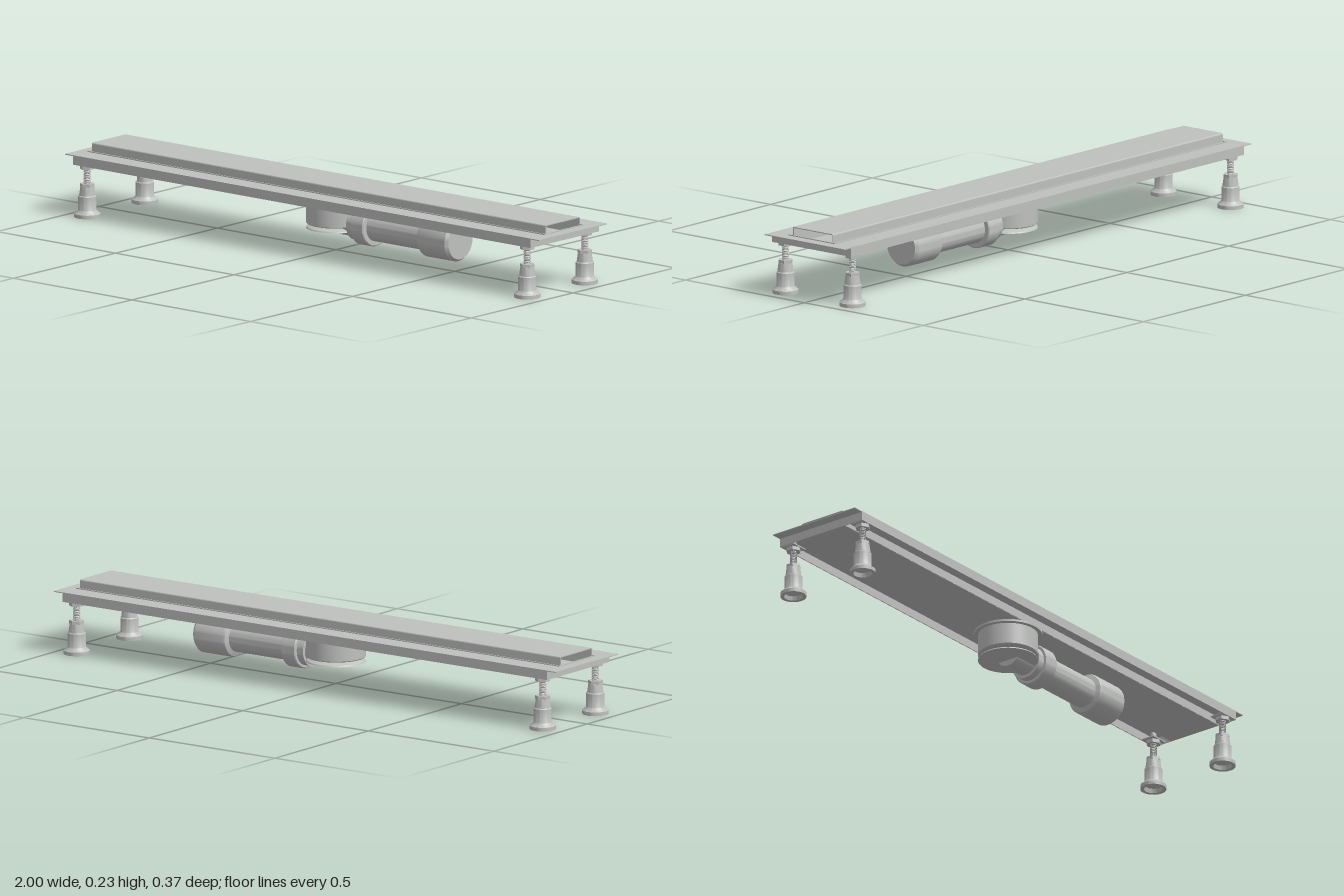
import * as THREE from 'three';
import { toCreasedNormals } from 'three/addons/utils/BufferGeometryUtils.js';

const steel = new THREE.MeshStandardMaterial({ color: 0xbfc1bf, side: THREE.DoubleSide });
steel.name = 'brushed steel grey';

function add(parent, name, geometry, x = 0, y = 0, z = 0) {
  const mesh = new THREE.Mesh(geometry, steel);
  mesh.name = name;
  mesh.position.set(x, y, z);
  parent.add(mesh);
  return mesh;
}

// box given by its limits on each axis
function slab(parent, name, x0, x1, y0, y1, z0, z1) {
  return add(parent, name, new THREE.BoxGeometry(x1 - x0, y1 - y0, z1 - z0),
    (x0 + x1) / 2, (y0 + y1) / 2, (z0 + z1) / 2);
}

// turned part with sharp edges, from [radius, height] pairs
function turned(points, sides = 40) {
  const geometry = new THREE.LatheGeometry(points.map(p => new THREE.Vector2(...p)), sides);
  return toCreasedNormals(geometry, 0.5);
}

// flat flange with the channel opening cut out
function flangeGeometry() {
  const rect = (path, x, z) => path.moveTo(-x, -z).lineTo(x, -z).lineTo(x, z).lineTo(-x, z).closePath();
  const shape = rect(new THREE.Shape(), 1, 0.167);
  shape.holes.push(rect(new THREE.Path(), 0.96, 0.094));
  return new THREE.ExtrudeGeometry(shape, { depth: 0.003, bevelEnabled: false }).rotateX(-Math.PI / 2);
}

// inverted U section with rounded shoulders, open at both ends
function coverGeometry() {
  const w = 0.084, top = 0.229, low = 0.175, t = 0.003, r = 0.005;
  const s = new THREE.Shape();
  s.moveTo(-w, low).lineTo(-w, top - r).quadraticCurveTo(-w, top, -w + r, top);
  s.lineTo(w - r, top).quadraticCurveTo(w, top, w, top - r).lineTo(w, low);
  s.lineTo(w - t, low).lineTo(w - t, top - t).lineTo(-w + t, top - t).lineTo(-w + t, low).closePath();
  const g = new THREE.ExtrudeGeometry(s, { depth: 1.914, bevelEnabled: false, curveSegments: 5 });
  return g.translate(0, 0, -0.957).rotateY(Math.PI / 2);
}

function createFoot() {
  const foot = new THREE.Group();
  foot.name = 'adjustableFoot';
  // hollow-bottomed base and tapered sleeve
  add(foot, 'footSleeve', turned([
    [0, 0.014], [0.027, 0.014], [0.03, 0], [0.042, 0], [0.042, 0.012], [0.03, 0.022],
    [0.029, 0.024], [0.029, 0.068], [0.026, 0.071], [0.022, 0.1], [0, 0.1]], 32));
  add(foot, 'lockNut', toCreasedNormals(new THREE.CylinderGeometry(0.024, 0.024, 0.011, 6), 0.5), 0, 0.104, 0);
  // threaded rod as a row of ridges
  const thread = [[0, 0.1]];
  for (let i = 0; i < 9; i++) {
    const y = 0.108 + i * 0.0055;
    thread.push([0.0095, y], [0.0115, y + 0.0018], [0.0115, y + 0.0035]);
  }
  thread.push([0.0095, 0.16], [0.0095, 0.2]);
  add(foot, 'threadedRod', turned(thread, 20));
  add(foot, 'topNut', toCreasedNormals(new THREE.CylinderGeometry(0.024, 0.024, 0.012, 6), 0.5), 0, 0.163, 0);
  add(foot, 'footBracket', new THREE.BoxGeometry(0.06, 0.004, 0.05), 0, 0.171, 0);
  return foot;
}

export function createModel() {
  const model = new THREE.Group();
  model.name = 'linearFloorDrain';

  // channel body
  const body = new THREE.Group();
  body.name = 'channelBody';
  model.add(body);
  add(body, 'flange', flangeGeometry(), 0, 0.197, 0);
  slab(body, 'troughFloor', -0.963, 0.963, 0.169, 0.172, -0.097, 0.097);
  for (const s of [-1, 1]) {
    const span = (a, b) => [Math.min(s * a, s * b), Math.max(s * a, s * b)];
    slab(body, 'sideSkirt', -0.965, 0.965, 0.169, 0.198, ...span(0.164, 0.167));
    slab(body, 'endSkirt', ...span(0.962, 0.965), 0.169, 0.198, -0.165, 0.165);
    slab(body, 'troughWall', -0.963, 0.963, 0.17, 0.203, ...span(0.094, 0.098));
    slab(body, 'troughEnd', ...span(0.959, 0.963), 0.17, 0.203, -0.095, 0.095);
  }

  // raised cover
  add(model, 'cover', coverGeometry());

  // siphon pot with mounting rim and a flared bottom dish
  const siphon = new THREE.Group();
  siphon.name = 'siphon';
  model.add(siphon);
  add(siphon, 'siphonPot', turned([
    [0, 0.089], [0.093, 0.089], [0.096, 0.092], [0.096, 0.162], [0.11, 0.162], [0.11, 0.169], [0, 0.169]], 56));
  add(siphon, 'siphonDish', turned([
    [0, 0.076], [0.092, 0.076], [0.096, 0.074], [0.094, 0.078], [0.068, 0.09]], 56));

  // outlet pipe along +x
  const outlet = add(siphon, 'outletPipe', turned([
    [0, 0], [0.046, 0], [0.046, 0.09], [0.056, 0.09], [0.056, 0.115], [0.064, 0.115], [0.067, 0.118],
    [0.067, 0.167], [0.064, 0.17], [0.049, 0.17], [0.049, 0.39], [0.064, 0.396], [0.067, 0.402],
    [0.067, 0.515], [0.059, 0.525], [0, 0.525]], 48), 0, 0.102, 0);
  outlet.rotation.z = -Math.PI / 2;

  // four feet
  for (const x of [-0.928, 0.928]) {
    for (const z of [-0.141, 0.141]) {
      const foot = createFoot();
      foot.position.set(x, 0, z);
      model.add(foot);
    }
  }
  return model;
}
